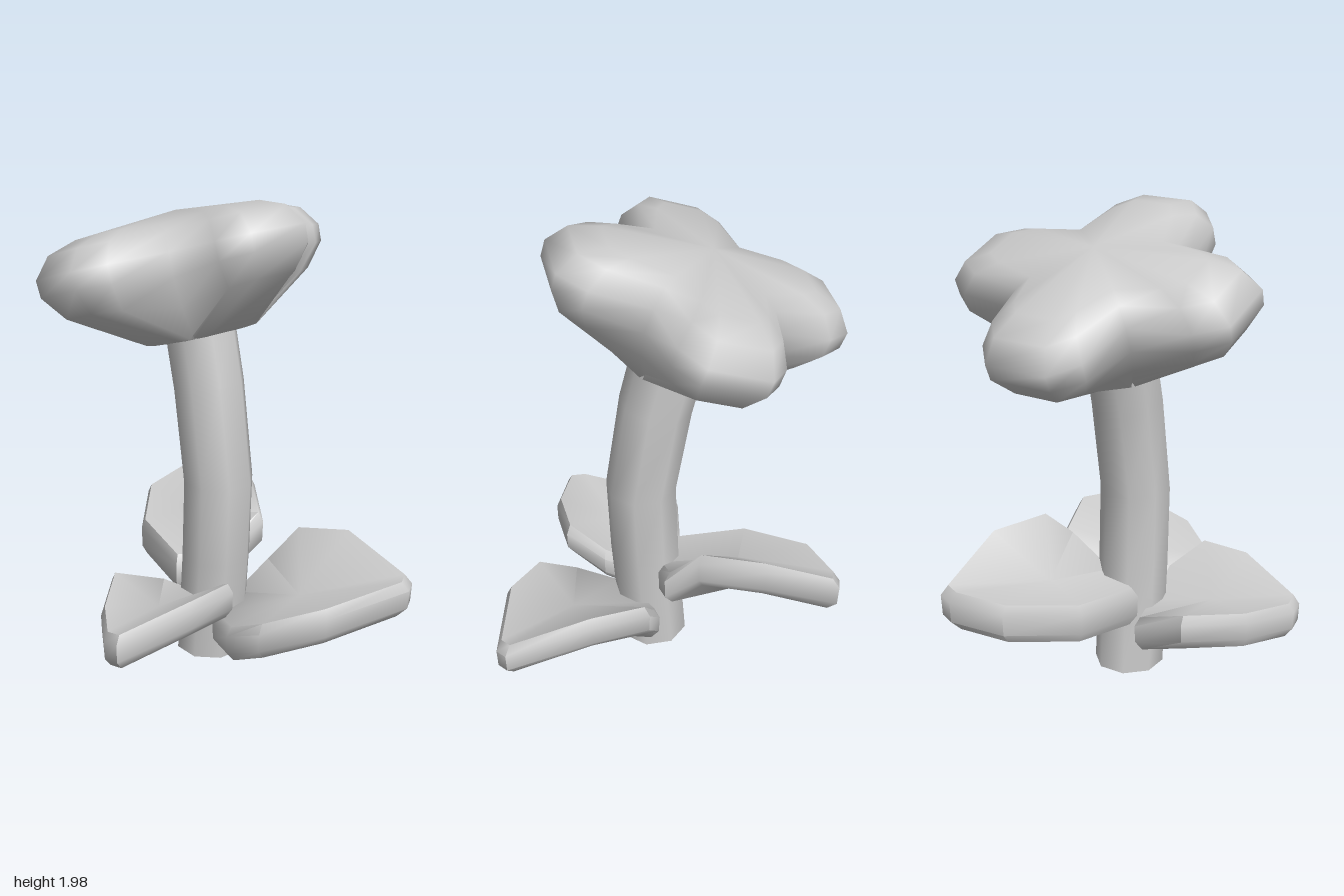
import * as THREE from 'three';
import { toCreasedNormals } from 'three/addons/utils/BufferGeometryUtils.js';

// Closed solid from rings (bottom to top, counter-clockwise from above) and two cap centres
function loft(rings, bottom, top, crease) {
  const n = rings[0].length;
  const index = [];
  const low = rings.length * n, high = low + 1, last = (rings.length - 1) * n;
  for (let j = 0; j < n; j++) {
    const k = (j + 1) % n;
    for (let i = 0; i < rings.length - 1; i++) {
      const a = i * n + j, b = i * n + k;
      index.push(a, b, b + n, a, b + n, a + n);
    }
    index.push(k, j, low, last + j, last + k, high);
  }
  const g = new THREE.BufferGeometry();
  g.setAttribute('position', new THREE.Float32BufferAttribute([...rings.flat(), bottom, top].flat(), 3));
  g.setIndex(index);
  return toCreasedNormals(g, crease);
}

// Thick cupped leaf; rim lists the upper edge, hub is the middle of the upper face
function leafGeometry(rim, hub, thickness) {
  const ring = (scale, drop) => rim.map(([x, y, z]) => [
    hub[0] + (x - hub[0]) * scale, y - drop, hub[2] + (z - hub[2]) * scale]);
  return loft(
    [ring(0.9, thickness), ring(0.99, thickness - 0.04), ring(1, 0.04), ring(0.93, 0)],
    [hub[0], hub[1] - thickness, hub[2]], hub, 0.85);
}

// Four-armed outline: arm length, half width, inner corner, heights at the tip and the corner
function petalRing([length, width, corner, tipY, cornerY]) {
  const points = [];
  for (let arm = 0; arm < 4; arm++) {
    const c = Math.cos(arm * Math.PI / 2), s = Math.sin(arm * Math.PI / 2);
    const shoulder = corner + (length - corner) * 0.7;
    const shoulderY = cornerY + (tipY - cornerY) * 0.8;
    const profile = [
      [shoulder, -width, shoulderY], [length, -width * 0.6, tipY],
      [length, width * 0.6, tipY], [shoulder, width, shoulderY],
      [corner, corner, cornerY]];
    for (const [u, v, y] of profile) points.push([u * c - v * s, y, -(u * s + v * c)]);
  }
  return points;
}

export function createModel() {
  const group = new THREE.Group();
  const material = new THREE.MeshStandardMaterial({ color: 0xcccccc });
  const add = (name, geometry) => {
    const mesh = new THREE.Mesh(geometry, material);
    mesh.name = name;
    group.add(mesh);
    return mesh;
  };

  // Bent eight-sided stem
  const stemPath = [[0, 0], [0.035, 0.45], [0.05, 0.8], [-0.012, 1.2], [-0.085, 1.5]];
  const stemRings = stemPath.map(([x, y], i) => Array.from({ length: 8 }, (_, j) => {
    const a = (j + 0.5) * Math.PI / 4;
    const lean = i > 2 ? 0.2 : 0;
    const dx = 0.149 * Math.cos(a);
    return [x + dx, y + dx * lean, -0.03 - 0.149 * Math.sin(a)];
  }));
  add('stem', loft(stemRings, [0, 0, -0.03], [-0.085, 1.5, -0.03], 0.9));

  // Tilted flower head with four puffy petals
  const headRings = [
    [0.18, 0.16, 0.15, -0.27, -0.255],
    [0.56, 0.16, 0.225, -0.09, -0.14],
    [0.63, 0.225, 0.265, 0.01, -0.02],
    [0.635, 0.225, 0.26, 0.08, 0.08],
    [0.57, 0.19, 0.235, 0.165, 0.16],
    [0.45, 0.14, 0.19, 0.205, 0.195],
  ].map(petalRing);
  const head = add('flowerHead', loft(headRings, [0, -0.285, 0], [0, 0.25, 0], 2.5));
  head.position.set(-0.155, 1.65, -0.035);
  head.rotation.z = 0.335;
  head.scale.x = 0.95;

  // Three leaves around the foot of the stem
  add('leftLeaf', leafGeometry([
    [0.31, 0.26, 0.14], [0.49, 0.34, 0.12], [0.65, 0.4, -0.1], [0.74, 0.44, -0.48], [0.71, 0.45, -0.53],
    [0.35, 0.53, -0.53], [0.1, 0.48, -0.45], [0.03, 0.34, -0.32], [0.02, 0.23, -0.13], [0.12, 0.22, 0.06],
  ], [0.38, 0.33, -0.2], 0.16));
  add('rightLeaf', leafGeometry([
    [-0.1, 0.41, 0.08], [0, 0.42, -0.1], [0.01, 0.54, -0.32], [-0.12, 0.66, -0.38],
    [-0.38, 0.65, -0.48], [-0.7, 0.52, -0.49], [-0.72, 0.51, -0.43], [-0.67, 0.49, -0.2], [-0.43, 0.45, 0.02],
  ], [-0.34, 0.47, -0.2], 0.17));
  add('frontLeaf', leafGeometry([
    [0.19, 0.37, 0.67], [0.26, 0.38, 0.66], [0.36, 0.47, 0.36], [0.35, 0.48, 0.14], [0.2, 0.39, 0.04],
    [0.04, 0.29, 0.04], [-0.16, 0.3, 0.1], [-0.2, 0.39, 0.35], [0, 0.37, 0.55],
  ], [0.1, 0.34, 0.33], 0.155));

  return group;
}
